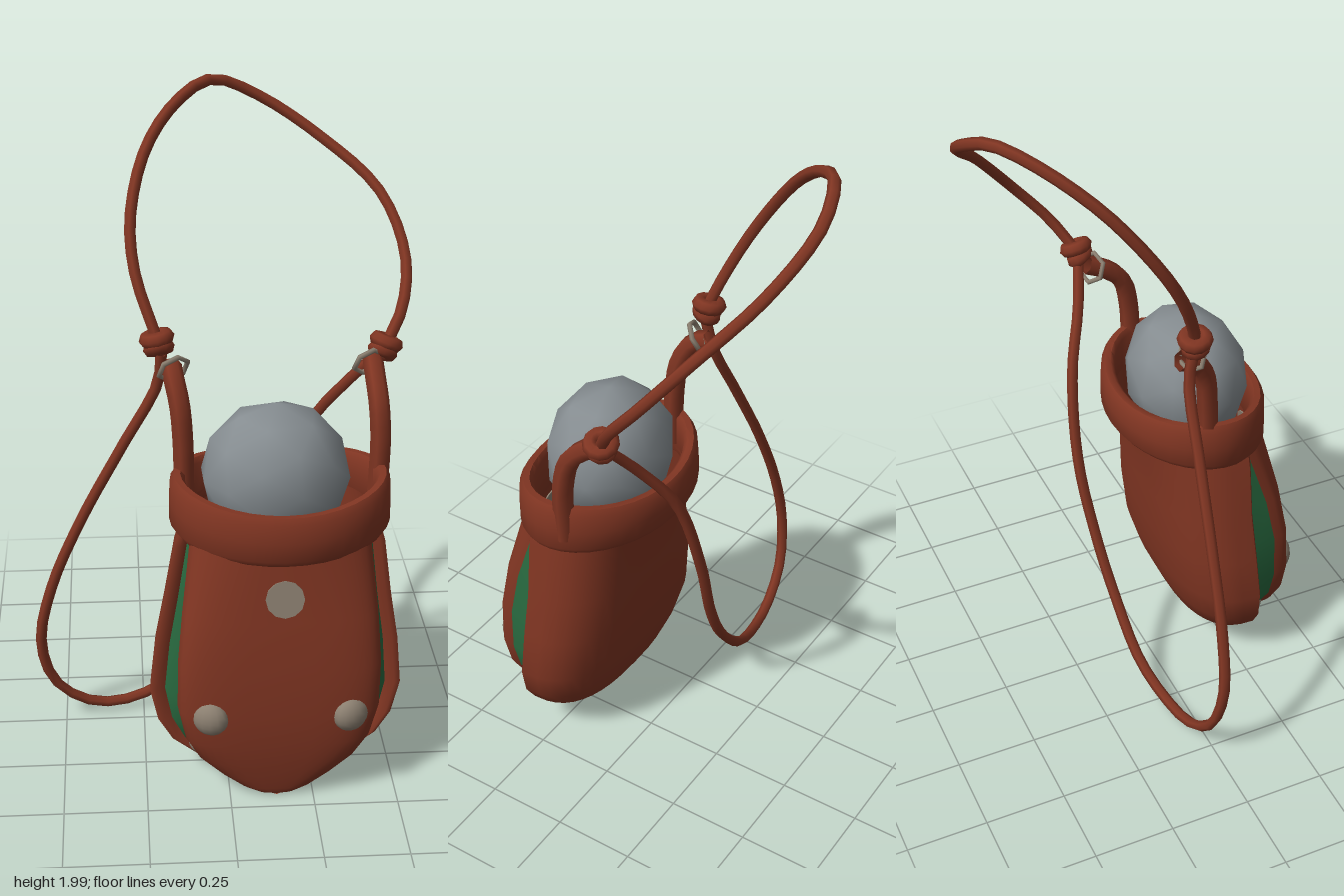
import * as THREE from 'three';
import { toCreasedNormals } from 'three/addons/utils/BufferGeometryUtils.js';

const mat = (name, color, side = THREE.DoubleSide) => {
  const m = new THREE.MeshStandardMaterial({ color, side });
  m.name = name;
  return m;
};

// Surface through rows of [x, y, z] points, optionally closed both ways
function loft(rows, closed = false) {
  const n = rows[0].length, m = rows.length, index = [];
  for (let i = 0; i < (closed ? m : m - 1); i++) {
    for (let j = 0; j < (closed ? n : n - 1); j++) {
      const a = i * n + j, b = i * n + (j + 1) % n;
      const c = ((i + 1) % m) * n + j, d = ((i + 1) % m) * n + (j + 1) % n;
      index.push(a, b, c, b, d, c);
    }
  }
  const g = new THREE.BufferGeometry();
  g.setAttribute('position', new THREE.Float32BufferAttribute(rows.flat(2), 3));
  g.setIndex(index);
  g.computeVertexNormals();
  return g;
}

const centreX = (y) => 0.14 + 0.018 * y;

// Half-shell of the pouch: levels are [y, halfWidth, edgeZ, farZ, power]
function shell(levels) {
  const n = 20;
  return levels.map(([y, w, edge, far, power]) => Array.from({ length: n + 1 }, (_, j) => {
    const a = (j / n) * Math.PI, c = Math.cos(a), s = Math.max(0, Math.sin(a));
    return [centreX(y) + w * Math.sign(c) * Math.abs(c) ** power, y, edge + (far - edge) * s ** power];
  }));
}

export function createModel() {
  const model = new THREE.Group();
  const leather = mat('brown leather', 0x803522);
  const green = mat('green cloth', 0x28693f);
  const stoneGrey = mat('grey stone', 0x868d91, THREE.FrontSide);
  const metal = mat('dull metal', 0x8c8071);

  const add = (name, geometry, material, pos = [0, 0, 0], parent = model) => {
    const mesh = new THREE.Mesh(geometry, material);
    mesh.name = name;
    mesh.position.set(...pos);
    parent.add(mesh);
    return mesh;
  };
  const tube = (name, pts, r, segs) => {
    const curve = new THREE.CatmullRomCurve3(pts.map((p) => new THREE.Vector3(...p)));
    return add(name, new THREE.TubeGeometry(curve, segs, r, 6), leather);
  };

  // Back and front leather panels
  const back = [
    [0.005, 0, 0.31, 0.3, 0.75], [0.012, 0.07, 0.31, 0.27, 0.75], [0.03, 0.14, 0.31, 0.23, 0.75],
    [0.07, 0.23, 0.31, 0.18, 0.75], [0.13, 0.31, 0.31, 0.13, 0.75], [0.2, 0.355, 0.305, 0.1, 0.75],
    [0.3, 0.38, 0.295, 0.07, 0.75], [0.45, 0.365, 0.285, 0.05, 0.75], [0.6, 0.338, 0.278, 0.04, 0.75],
    [0.78, 0.31, 0.28, 0.03, 0.78], [0.86, 0.285, 0.28, 0.0, 0.85],
  ];
  const front = [
    [0.005, 0, 0.425, 0.435, 0.6], [0.012, 0.06, 0.405, 0.442, 0.6], [0.03, 0.112, 0.37, 0.448, 0.6],
    [0.07, 0.178, 0.34, 0.456, 0.6], [0.13, 0.238, 0.365, 0.466, 0.6], [0.2, 0.277, 0.383, 0.473, 0.6],
    [0.3, 0.3, 0.388, 0.476, 0.6], [0.45, 0.3, 0.383, 0.466, 0.6], [0.6, 0.288, 0.355, 0.445, 0.66],
    [0.78, 0.268, 0.3, 0.412, 0.85], [0.86, 0.262, 0.28, 0.408, 1],
  ];
  add('backPanel', loft(shell(back)), leather);
  add('frontPanel', loft(shell(front)), leather);

  // Between the panels: a leather lip on the back panel, then a recessed green gusset
  const bothSides = (fn) => [-1, 1].flatMap((s) => {
    const rows = back.map(([y, w, z], i) => fn(w, z, front[i][1], front[i][2])
      .map(([x, zz]) => [centreX(y) + s * x, y, zz]));
    return s < 0 ? rows.reverse() : rows;
  });
  const lip = bothSides((w, z) => [[w, z], [w * 0.95, z + 0.01], [w * 0.88, z - 0.006]]);
  add('backPanelLip', loft(lip), leather);
  const gusset = bothSides((w, z, fw, fz) => [
    [w * 0.88, z - 0.006], [(w * 0.88 + fw) / 2 - 0.005, z * 0.6 + fz * 0.4], [fw * 0.975, fz + 0.015],
  ]);
  const mid = back.length, seam = 3;
  add('rightGusset', loft(gusset.slice(0, mid - seam + 1)), green);
  add('bottomSeam', loft(gusset.slice(mid - seam, mid + seam)), leather);
  add('leftGusset', loft(gusset.slice(mid + seam - 1)), green);

  // Collar: a rounded band swept around the opening; points are [inset, height]
  const profile = [[0, 0.12], [0, 0.5], [0.003, 0.88], [0.015, 1], [0.034, 1], [0.046, 0.9], [0.046, 0.1], [0.034, 0], [0.012, 0]];
  const collar = Array.from({ length: 36 }, (_, i) => {
    const a = (i / 36) * Math.PI * 2, c = Math.cos(a), s = Math.sin(a);
    const top = 0.972 - 0.03 * s * s - 0.012 * s;
    const low = 0.808 - 0.01 * s * s - 0.02 * s;
    return profile.map(([d, t]) => [
      0.16 + (0.327 - d) * c, low + (top - low) * t, 0.195 + (0.241 - d) * s,
    ]);
  });
  add('collar', toCreasedNormals(loft(collar, true), 0.9), leather);

  // Stone resting in the opening
  const stoneShape = new THREE.IcosahedronGeometry(1, 1).rotateY(0.3);
  add('stone', stoneShape, stoneGrey, [0.145, 0.97, 0.2]).scale.set(0.222, 0.222, 0.187);

  // Metal fittings
  for (const s of [-1, 1]) {
    const stud = add('stud', new THREE.SphereGeometry(0.056, 14, 10), metal, [0.147 + s * 0.208, 0.295, 0.452]);
    stud.scale.z = 0.7;
    stud.rotation.y = s * 0.4;
  }
  const disc = add('frontDisc', new THREE.CylinderGeometry(0.057, 0.057, 0.009, 12), metal, [0.157, 0.675, 0.431]);
  disc.rotation.x = Math.PI / 2 - 0.18;
  add('sideBead', new THREE.SphereGeometry(0.03, 10, 8), metal, [-0.09, 0.14, 0.348]);

  // Carrying loop
  tube('handle', [
    [-0.18, 1.31, 0.075], [-0.2, 1.37, 0.06], [-0.25, 1.52, 0], [-0.26, 1.66, -0.08], [-0.21, 1.83, -0.21],
    [-0.11, 1.94, -0.34], [0, 1.98, -0.435], [0.14, 1.92, -0.475], [0.33, 1.8, -0.43],
    [0.5, 1.66, -0.32], [0.565, 1.5, -0.19], [0.545, 1.37, -0.08], [0.48, 1.26, -0.01],
  ], 0.018, 36);

  // Long strap hanging at the side and passing behind the pouch
  tube('hangingStrap', [
    [-0.18, 1.3, 0.07], [-0.19, 1.2, 0.05], [-0.3, 0.99, 0.035], [-0.43, 0.74, 0.02], [-0.53, 0.5, 0.01],
    [-0.57, 0.3, 0], [-0.53, 0.14, -0.02], [-0.42, 0.05, -0.04], [-0.3, 0.04, -0.06],
    [-0.15, 0.1, -0.09], [0, 0.26, -0.11], [0.1, 0.44, -0.13], [0.19, 0.7, -0.15],
    [0.28, 0.98, -0.125], [0.38, 1.14, -0.06], [0.47, 1.25, -0.02],
  ], 0.017, 48);

  // Short tabs from the collar to the rings
  tube('rightTab', [[-0.15, 1.25, 0.04], [-0.145, 1.23, 0.09], [-0.13, 1.16, 0.13], [-0.122, 1.05, 0.145], [-0.12, 0.86, 0.15]], 0.031, 12);
  tube('leftTab', [[0.45, 1.24, 0.0], [0.45, 1.21, 0.06], [0.455, 1.15, 0.12], [0.46, 1.05, 0.145], [0.455, 0.86, 0.15]], 0.031, 12);

  // Knots and six-sided rings
  const knots = [
    ['rightKnot', [-0.19, 1.335, 0.068], [-0.2, 0, 0.2], [-0.145, 1.255, 0.08]],
    ['leftKnot', [0.487, 1.275, -0.015], [-0.3, 0, -0.4], [0.435, 1.235, 0.01]],
  ];
  for (const [name, pos, rot, ringPos] of knots) {
    const knot = new THREE.Group();
    knot.name = name;
    knot.position.set(...pos);
    knot.rotation.set(...rot);
    model.add(knot);
    for (const [y, r, tilt] of [[0.012, 0.03, 0.1], [-0.018, 0.024, -0.3]]) {
      const wrap = add('knotWrap', new THREE.TorusGeometry(r, 0.023, 7, 12), leather, [0, y, 0], knot);
      wrap.rotation.x = Math.PI / 2 + tilt;
    }
    const ring = add('ring', new THREE.TorusGeometry(0.047, 0.008, 6, 6), metal, ringPos);
    ring.rotation.set(0.5, 0.4, 0.2);
  }
  return model;
}
